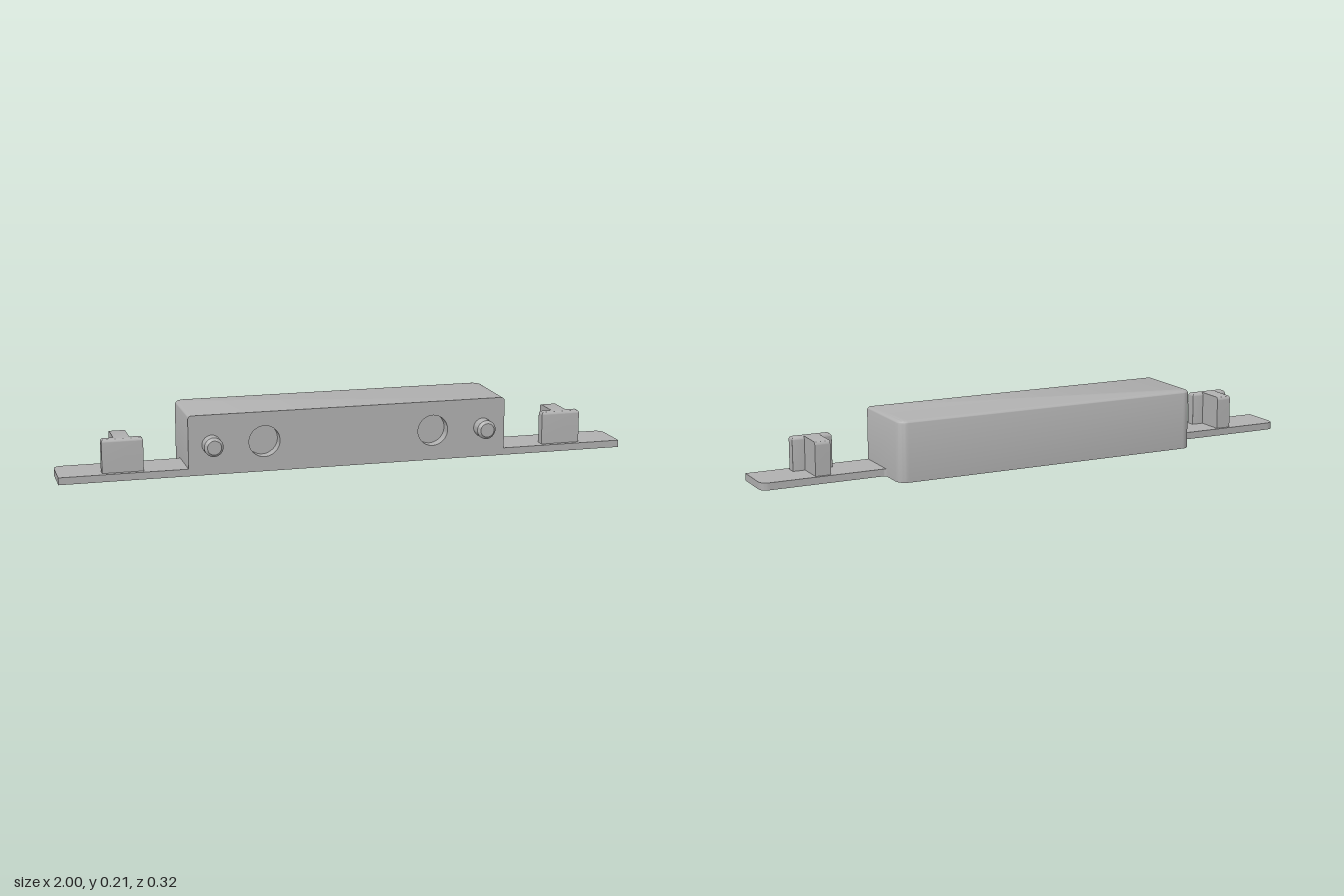
import * as THREE from 'three';
import { toCreasedNormals } from 'three/addons/utils/BufferGeometryUtils.js';

const SEG = 8;
const crease = (g) => toCreasedNormals(g, 0.5);

// Footprint from front right, round the back corners, to front left
function footprint(w, front, back, r) {
  const ring = [[w, front]];
  for (const side of [0, 1]) {
    for (let i = 0; i <= SEG; i++) {
      const a = (side + i / SEG) * Math.PI / 2;
      ring.push([(side ? -1 : 1) * (w - r) + r * Math.cos(a), back + r - r * Math.sin(a)]);
    }
  }
  ring.push([-w, front]);
  return ring;
}

// Upright block with a rounded top rim; openFront leaves the front flat and unfilled
function block({ w, front, back, y0, y1, corner, rim, openFront }) {
  const rings = [footprint(w, front, back, corner).map(([x, z]) => [x, y0, z])];
  for (let i = 0; i <= SEG; i++) {
    const a = i / SEG * Math.PI / 2;
    const inset = rim * (1 - Math.cos(a));
    const y = y1 - rim + rim * Math.sin(a);
    rings.push(footprint(w - inset, openFront ? front : front - inset, back + inset, Math.max(corner - inset, 0.0005))
      .map(([x, z]) => [x, y, z]));
  }
  const pos = [];
  const tri = (a, b, c) => pos.push(...a, ...b, ...c);
  const n = rings[0].length;
  for (let k = 0; k < rings.length - 1; k++) {
    const lo = rings[k], hi = rings[k + 1];
    for (let i = 0; i < (openFront ? n - 1 : n); i++) {
      const j = (i + 1) % n;
      tri(lo[i], lo[j], hi[j]);
      tri(lo[i], hi[j], hi[i]);
    }
  }
  const top = rings[rings.length - 1], bottom = rings[0];
  for (let i = 1; i < n - 1; i++) {
    tri(top[0], top[i], top[i + 1]);
    tri(bottom[0], bottom[i + 1], bottom[i]);
  }
  const g = new THREE.BufferGeometry();
  g.setAttribute('position', new THREE.Float32BufferAttribute(pos, 3));
  return crease(g);
}

// Turned part whose axis points to the front
function turned(points) {
  const g = new THREE.LatheGeometry(points.map(([r, h]) => new THREE.Vector2(r, h)), 40);
  return crease(g.rotateX(Math.PI / 2));
}

export function createModel() {
  const model = new THREE.Group();
  model.name = 'mountedHousing';
  const grey = new THREE.MeshStandardMaterial({ color: 0xb0b0b0 });
  grey.name = 'plainGrey';
  const add = (name, geometry, x = 0, y = 0, z = 0) => {
    const mesh = new THREE.Mesh(geometry, grey);
    mesh.name = name;
    mesh.position.set(x, y, z);
    model.add(mesh);
  };

  const W = 0.563, H = 0.208, FRONT = 0.112, BACK = -0.162, RIM = 0.013;
  const BASE = 0.025, MID = 0.105;

  // Housing shell
  add('housing', block({ w: W, front: FRONT, back: BACK, y0: 0, y1: H, corner: 0.035, rim: RIM, openFront: true }));

  // Front face with two round holes
  const outline = [new THREE.Vector2(-W, 0), new THREE.Vector2(W, 0)];
  for (const side of [0, 1]) {
    for (let i = 0; i <= SEG; i++) {
      const a = (side + i / SEG) * Math.PI / 2;
      outline.push(new THREE.Vector2((side ? -1 : 1) * (W - RIM) + RIM * Math.cos(a), H - RIM + RIM * Math.sin(a)));
    }
  }
  const face = new THREE.Shape(outline);
  for (const s of [-1, 1]) {
    const hole = new THREE.Path();
    hole.absarc(s * 0.3, MID, 0.054, 0, Math.PI * 2, true);
    face.holes.push(hole);
  }
  add('frontFace', new THREE.ShapeGeometry(face, 20), 0, 0, FRONT);

  for (const s of [-1, 1]) {
    const side = s > 0 ? 'left' : 'right';

    // Blind hole and chamfered pin
    add(side + 'Socket', turned([[0.054, 0], [0.054, -0.04], [0, -0.04]]), s * 0.3, MID, FRONT);
    add(side + 'Pin', turned([[0.033, 0], [0.033, 0.041], [0.024, 0.051], [0, 0.051]]), s * 0.483, MID, FRONT);

    // Flat wing with a rounded outer corner and a small fillet at the housing
    const wing = new THREE.Shape();
    wing.moveTo(s * W, -FRONT);
    wing.lineTo(s, -FRONT);
    wing.lineTo(s, 0.013);
    wing.quadraticCurveTo(s, 0.045, s * 0.968, 0.045);
    wing.lineTo(s * (W + 0.011), 0.045);
    wing.quadraticCurveTo(s * W, 0.045, s * W, 0.056);
    wing.closePath();
    const wingGeo = new THREE.ExtrudeGeometry(wing, { depth: BASE, bevelEnabled: false, curveSegments: SEG });
    add(side + 'Wing', crease(wingGeo.rotateX(-Math.PI / 2)));

    // T-shaped clip: cross plate and stem
    const x = s * 0.782;
    add(side + 'ClipPlate', block({ w: 0.07, front: 0.095, back: 0.062, y0: BASE, y1: 0.141, corner: 0.001, rim: 0.011 }), x);
    const stem = new THREE.Shape();
    stem.moveTo(-0.07, BASE);
    stem.lineTo(0.036, BASE);
    stem.lineTo(0.036, 0.129);
    stem.quadraticCurveTo(0.036, 0.141, 0.024, 0.141);
    stem.lineTo(-0.073, 0.141);
    stem.closePath();
    const stemGeo = new THREE.ExtrudeGeometry(stem, { depth: 0.054, bevelEnabled: false, curveSegments: SEG });
    add(side + 'ClipStem', crease(stemGeo.translate(0, 0, -0.027).rotateY(Math.PI / 2)), x);
  }
  return model;
}
